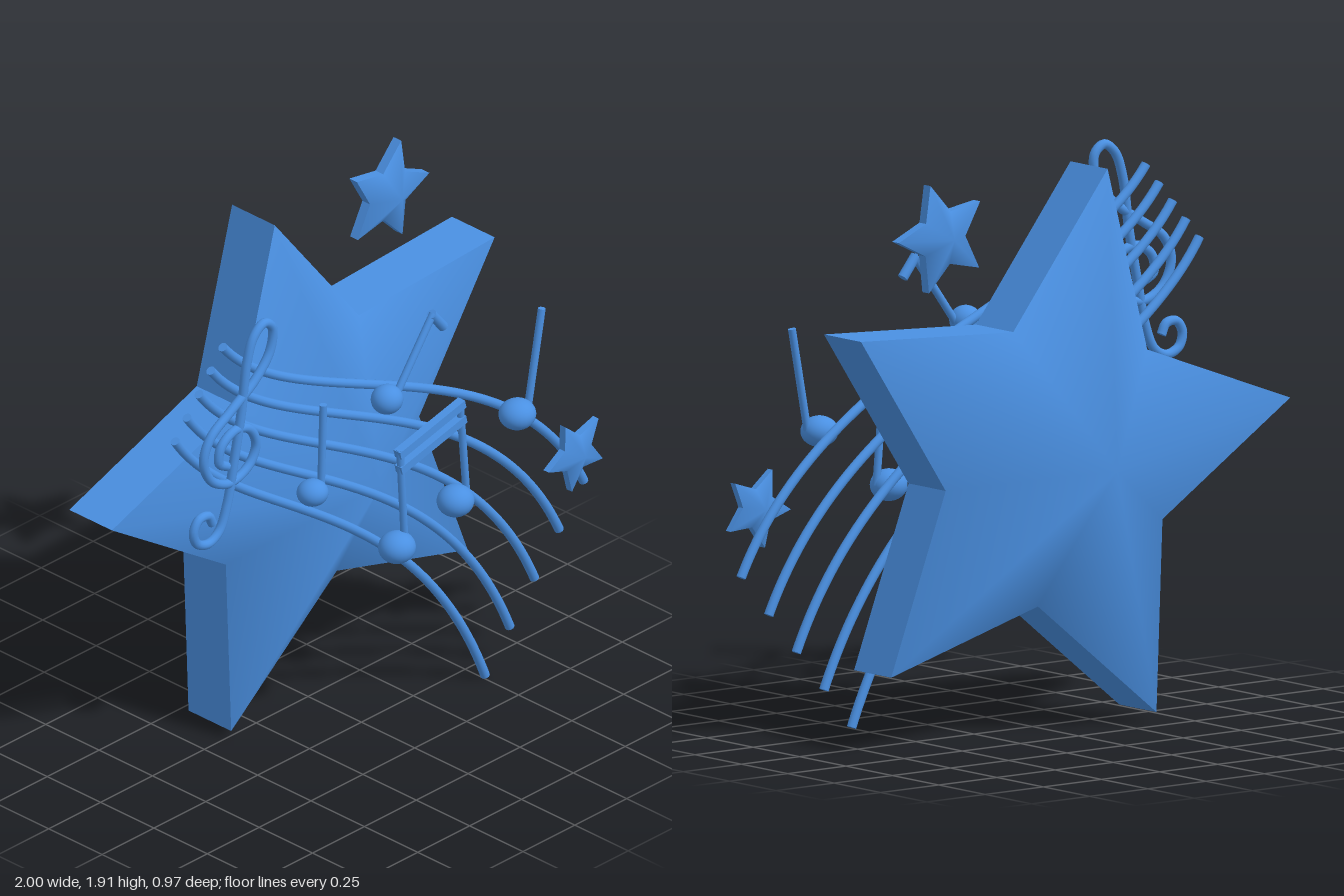
import * as THREE from 'three';
import { mergeGeometries } from 'three/addons/utils/BufferGeometryUtils.js';

const material = new THREE.MeshStandardMaterial({ color: 0x4a90e2 });
const NOTE_Z = 0.407, STAFF_Z = 0.334;

function buildGeometry(points, index) {
  const g = new THREE.BufferGeometry();
  g.setAttribute('position', new THREE.Float32BufferAttribute(points.flat(), 3));
  g.setIndex(index);
  return g;
}

// Five-pointed star: smooth cone on each side, flat band around the rim
function starGeometry(outer, inner, angle, halfRim, halfDepth) {
  const ring = (z) => Array.from({ length: 10 }, (_, i) => {
    const a = THREE.MathUtils.degToRad(angle + i * 36);
    const r = i % 2 ? inner : outer;
    return [r * Math.cos(a), r * Math.sin(a), z];
  });
  const front = [], back = [], rim = [];
  for (let i = 0; i < 10; i++) {
    const j = (i + 1) % 10;
    front.push(10, i, j);
    back.push(10, j, i);
    rim.push(10 + i, 10 + j, j, 10 + i, j, i);
  }
  const parts = [
    buildGeometry([...ring(halfRim), [0, 0, halfDepth]], front),
    buildGeometry([...ring(-halfRim), [0, 0, -halfDepth]], back),
    buildGeometry([...ring(halfRim), ...ring(-halfRim)], rim).toNonIndexed(),
  ];
  parts.forEach((p) => p.computeVertexNormals());
  return mergeGeometries(parts.map((p) => (p.index ? p.toNonIndexed() : p)));
}

function addMesh(parent, name, geometry, x = 0, y = 0, z = 0) {
  const mesh = new THREE.Mesh(geometry, material);
  mesh.name = name;
  mesh.position.set(x, y, z);
  parent.add(mesh);
  return mesh;
}

// Tube along a curve with closed round ends
function addTube(parent, name, curve, radius, segments) {
  const group = new THREE.Group();
  group.name = name;
  addMesh(group, name + 'Tube', new THREE.TubeGeometry(curve, segments, radius, 12));
  for (const t of [0, 1]) {
    const cap = addMesh(group, name + 'End', new THREE.CircleGeometry(radius, 12));
    const p = curve.getPointAt(t);
    cap.position.copy(p);
    cap.lookAt(p.clone().addScaledVector(curve.getTangentAt(t), t ? 1 : -1));
  }
  parent.add(group);
}

// Straight rod between two points in the plane of the notes
function addRod(parent, name, [x1, y1], [x2, y2], radius = 0.0135) {
  const rod = addMesh(parent, name,
    new THREE.CylinderGeometry(radius, radius, Math.hypot(x2 - x1, y2 - y1), 12),
    (x1 + x2) / 2, (y1 + y2) / 2, NOTE_Z);
  rod.rotation.z = Math.atan2(y2 - y1, x2 - x1) - Math.PI / 2;
}

function addBeam(parent, [x1, y1], [x2, y2]) {
  const beam = addMesh(parent, 'beam',
    new THREE.BoxGeometry(Math.hypot(x2 - x1, y2 - y1) + 0.025, 0.03, 0.032),
    (x1 + x2) / 2, (y1 + y2) / 2, NOTE_Z);
  beam.rotation.z = Math.atan2(y2 - y1, x2 - x1);
}

// Oval note head with its stem
function addNote(parent, name, [x, y], [rx, ry], stemBottom, stemTop) {
  const note = new THREE.Group();
  note.name = name;
  const head = addMesh(note, 'noteHead', new THREE.SphereGeometry(1, 24, 16), x, y, NOTE_Z);
  head.scale.set(rx, ry, rx * 0.97);
  addRod(note, 'noteStem', stemBottom, stemTop);
  parent.add(note);
  return note;
}

export function createModel() {
  const model = new THREE.Group();
  model.name = 'musicStar';

  // Stars
  addMesh(model, 'largeStar', starGeometry(0.99, 0.5, 101.6, 0.1, 0.403), 0.02, 0.94, -0.082);
  addMesh(model, 'upperSmallStar', starGeometry(0.192, 0.094, 73, 0.018, 0.079), 0.467, 1.73, -0.09);
  addMesh(model, 'lowerSmallStar', starGeometry(0.139, 0.068, 43, 0.013, 0.053), 0.838, 0.78, 0.435);

  // Five staff lines, blended from the lowest curve to the highest
  const low = [[-0.985, 1.53], [-0.7, 1.08], [0.15, 0.92], [0.51, 0.012]];
  const high = [[-0.755, 1.8], [-0.42, 1.37], [0.62, 1.3], [0.985, 0.57]];
  for (let i = 0; i < 5; i++) {
    const p = low.map(([x, y], k) => new THREE.Vector3(
      THREE.MathUtils.lerp(x, high[k][0], i / 4),
      THREE.MathUtils.lerp(y, high[k][1], i / 4), STAFF_Z));
    addTube(model, 'staffLine', new THREE.CubicBezierCurve3(...p), 0.0165, 64);
  }

  // Treble clef, from the tail curl up the stem and round into the spiral
  const clef = [
    [-0.88, 1.198], [-0.9, 1.235], [-0.945, 1.238], [-0.97, 1.198], [-0.955, 1.15],
    [-0.9, 1.128], [-0.848, 1.155], [-0.81, 1.24], [-0.778, 1.385], [-0.74, 1.572],
    [-0.714, 1.75], [-0.68, 1.84], [-0.632, 1.872], [-0.592, 1.84], [-0.602, 1.754],
    [-0.676, 1.668], [-0.794, 1.594], [-0.89, 1.53], [-0.922, 1.45], [-0.885, 1.364],
    [-0.794, 1.32], [-0.703, 1.353], [-0.67, 1.42], [-0.703, 1.492], [-0.773, 1.513],
    [-0.837, 1.476], [-0.848, 1.417], [-0.81, 1.39],
  ].map(([x, y]) => new THREE.Vector3(x, y, NOTE_Z));
  addTube(model, 'trebleClef', new THREE.CatmullRomCurve3(clef), 0.0165, 220);

  // Single notes
  addNote(model, 'leftNote', [-0.397, 1.12], [0.055, 0.046], [-0.356, 1.125], [-0.345, 1.438]);
  addNote(model, 'rightNote', [0.59, 1.02], [0.065, 0.053], [0.64, 1.02], [0.708, 1.38]);
  const flagged = addNote(model, 'flaggedNote', [-0.038, 1.334], [0.056, 0.051], [0.0, 1.325], [0.184, 1.575]);
  addRod(flagged, 'noteFlag', [0.176, 1.575], [0.232, 1.505], 0.018);

  // Pair of notes joined by two beams
  const pair = new THREE.Group();
  pair.name = 'beamedNotes';
  addNote(pair, 'leftBeamedNote', [0.01, 0.742], [0.065, 0.055], [0.047, 0.75], [0.024, 1.115]);
  addNote(pair, 'rightBeamedNote', [0.292, 0.807], [0.065, 0.055], [0.345, 0.81], [0.313, 1.18]);
  addBeam(pair, [0.025, 1.1], [0.313, 1.17]);
  addBeam(pair, [0.03, 1.04], [0.318, 1.11]);
  model.add(pair);

  return model;
}
